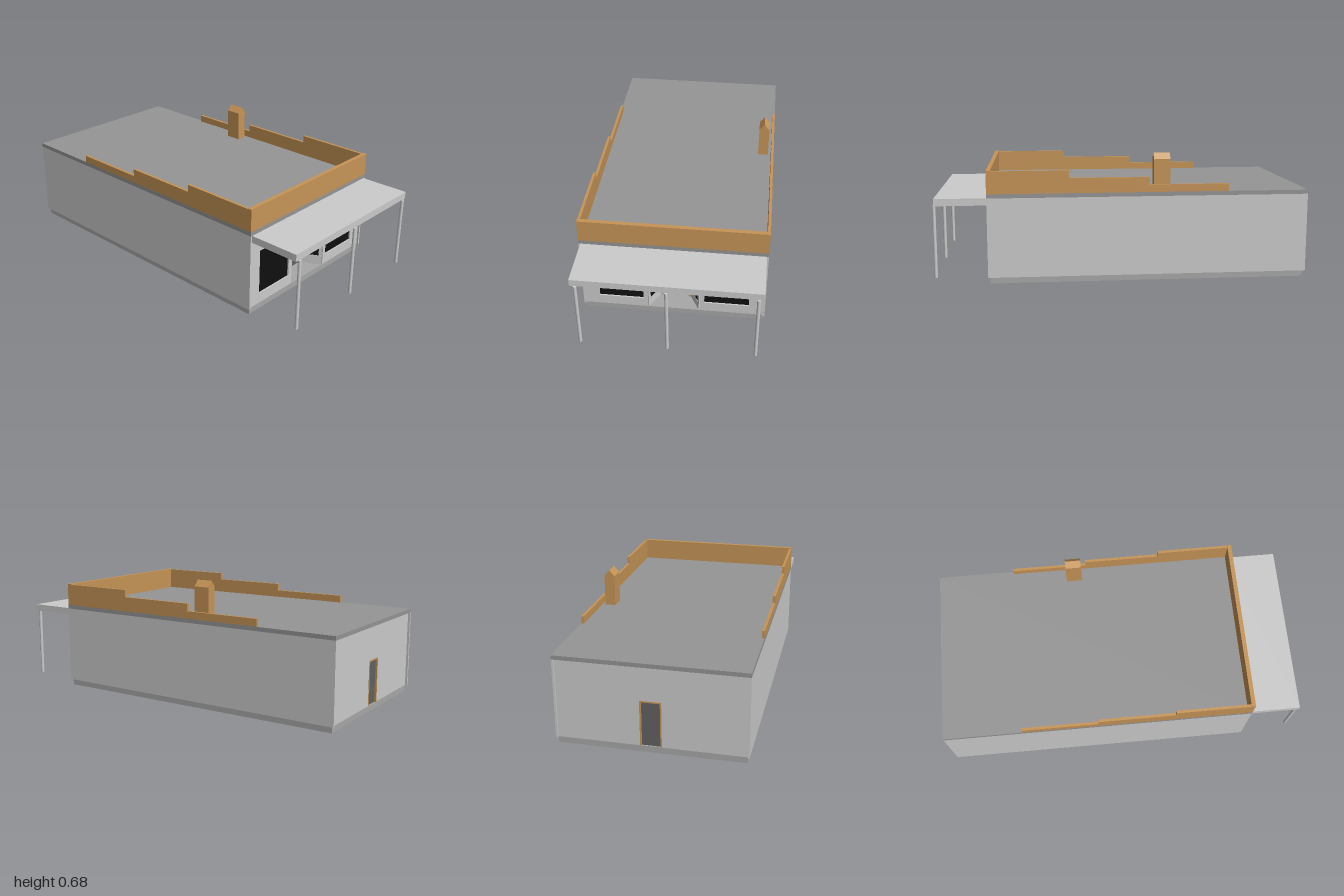
import * as THREE from 'three';

const paint = (color) => new THREE.MeshStandardMaterial({ color });
const GREY = paint(0xcccccc);
const STONE = paint(0xa8a8a8);
const ROOF = paint(0x959595);
const WOOD = paint(0xc69457);
const GLASS = paint(0x101010);
const DOOR = paint(0x626262);

const FLOOR = 0.033, EAVE = 0.458, ROOF_TOP = 0.48;
const FRONT = 0.706, BACK = -0.988;

function add(parent, name, geometry, material) {
  const mesh = new THREE.Mesh(geometry, material);
  mesh.name = name;
  parent.add(mesh);
  return mesh;
}

// Box given by its min and max on each axis
function box(parent, name, material, [x0, x1], [y0, y1], [z0, z1]) {
  const mesh = add(parent, name, new THREE.BoxGeometry(x1 - x0, y1 - y0, z1 - z0), material);
  mesh.position.set((x0 + x1) / 2, (y0 + y1) / 2, (z0 + z1) / 2);
  return mesh;
}

// Shape outlined by [x, y] pairs
const outline = (points) => new THREE.Shape(points.map(([x, y]) => new THREE.Vector2(x, y)));
const extrude = (shape, depth) => new THREE.ExtrudeGeometry(shape, { depth, bevelEnabled: false });

// Wall across x with a doorway notch cut from the floor
function wallShape(doorHalf, doorTop) {
  return outline([
    [-0.48, FLOOR], [-doorHalf, FLOOR], [-doorHalf, doorTop], [doorHalf, doorTop],
    [doorHalf, FLOOR], [0.48, FLOOR], [0.48, EAVE], [-0.48, EAVE],
  ]);
}

function buildWalls(parent) {
  box(parent, 'foundation', STONE, [-0.48, 0.48], [0, FLOOR], [-0.987, FRONT]);
  box(parent, 'roofSlab', ROOF, [-0.49, 0.49], [EAVE, ROOF_TOP], [-1, 0.717]);
  for (const s of [-1, 1]) {
    const x = [0.48 * s, 0.49 * s].sort((a, b) => a - b);
    box(parent, 'sideWall', GREY, x, [FLOOR, EAVE], [-1, 0.717]);
  }

  // Front wall with two shop windows and the entrance opening
  const front = wallShape(0.142, 0.329);
  for (const s of [-1, 1]) {
    const a = 0.164 * s, b = 0.403 * s;
    front.holes.push(new THREE.Path([[a, 0.09], [b, 0.09], [b, 0.34], [a, 0.34]]
      .map(([x, y]) => new THREE.Vector2(x, y))));
    box(parent, 'shopWindow', GLASS, [Math.min(a, b), Math.max(a, b)], [0.09, 0.34], [FRONT - 0.018, FRONT - 0.008]);
  }
  add(parent, 'frontWall', extrude(front, 0.02), GREY).position.z = FRONT - 0.02;

  // Back wall with a framed service door
  add(parent, 'backWall', extrude(wallShape(0.055, 0.277), 0.02), GREY).position.z = BACK;
  box(parent, 'backDoor', DOOR, [-0.048, 0.048], [FLOOR, 0.27], [BACK + 0.008, BACK + 0.016]);
  for (const s of [-1, 1]) {
    box(parent, 'backDoorJamb', WOOD, [0.0515 * s - 0.0035, 0.0515 * s + 0.0035], [FLOOR, 0.277], [BACK - 0.002, BACK + 0.018]);
  }
  box(parent, 'backDoorHead', WOOD, [-0.048, 0.048], [0.27, 0.277], [BACK - 0.002, BACK + 0.018]);
}

// Recessed entrance with slanted sidelights and a door at the back
function buildEntrance(parent) {
  const entrance = new THREE.Group();
  entrance.name = 'entrance';
  parent.add(entrance);
  const doorZ = FRONT - 0.11;

  box(entrance, 'entranceCeiling', GREY, [-0.145, 0.145], [0.329, 0.339], [doorZ - 0.01, FRONT - 0.02]);
  box(entrance, 'frontDoor', DOOR, [-0.07, 0.07], [FLOOR, 0.318], [doorZ - 0.01, doorZ]);
  box(entrance, 'doorHead', GREY, [-0.07, 0.07], [0.318, 0.329], [doorZ - 0.01, doorZ + 0.005]);

  for (const s of [-1, 1]) {
    const dx = 0.059, dz = 0.11, length = Math.hypot(dx, dz);
    const side = new THREE.Group();
    side.name = 'sidelight';
    side.position.set(0.138 * s, 0, FRONT - 0.002);
    side.rotation.y = Math.atan2(dz, -s * dx);
    box(side, 'sidelightPanel', GREY, [0, length], [FLOOR, 0.329], [-0.003, 0.003]);
    box(side, 'sidelightGlass', GLASS, [0.018, length - 0.022], [0.09, 0.327], [-0.004, 0.004]);
    box(side, 'sidelightSill', GREY, [0.01, length - 0.01], [0.083, 0.09], [-0.006, 0.006]);
    entrance.add(side);

    box(entrance, 'doorJamb', WOOD, [0.075 * s - 0.005, 0.075 * s + 0.005], [FLOOR, 0.329], [doorZ - 0.01, doorZ + 0.012]);
    box(entrance, 'sidelightPost', GREY, [0.067 * s - 0.005, 0.067 * s + 0.005], [0.09, 0.329], [doorZ + 0.013, doorZ + 0.026]);
  }
}

// Parapet: tall at the front, stepping down along both sides
function buildParapet(parent) {
  box(parent, 'frontParapet', WOOD, [-0.49, 0.49], [ROOF_TOP, 0.603], [0.694, 0.717]);
  const steps = outline([
    [0.694, ROOF_TOP], [0.694, 0.6], [0.285, 0.6], [0.285, 0.56],
    [-0.14, 0.56], [-0.14, 0.52], [-0.565, 0.52], [-0.565, ROOF_TOP],
  ]);
  // Drawn in (z, y), then turned so the drawing's x runs along z
  const geometry = extrude(steps, 0.015).rotateY(-Math.PI / 2);
  for (const x of [-0.475, 0.49]) add(parent, 'sideParapet', geometry, WOOD).position.x = x;
}

function buildChimney(parent) {
  const gable = outline([[0.4, ROOF_TOP], [0.458, ROOF_TOP], [0.458, 0.65], [0.429, 0.683], [0.4, 0.65]]);
  add(parent, 'chimney', extrude(gable, 0.088), WOOD).position.z = -0.254;
}

function buildCanopy(parent) {
  box(parent, 'canopy', GREY, [-0.48, 0.48], [0.42, EAVE], [FRONT, 0.99]);
  for (const x of [-0.452, 0, 0.452]) {
    const post = add(parent, 'canopyPost', new THREE.CylinderGeometry(0.009, 0.009, 0.42 - FLOOR, 16), GREY);
    post.position.set(x, (0.42 + FLOOR) / 2, 0.991);
  }
}

export function createModel() {
  const model = new THREE.Group();
  model.name = 'storefront';
  buildWalls(model);
  buildEntrance(model);
  buildParapet(model);
  buildChimney(model);
  buildCanopy(model);
  return model;
}
